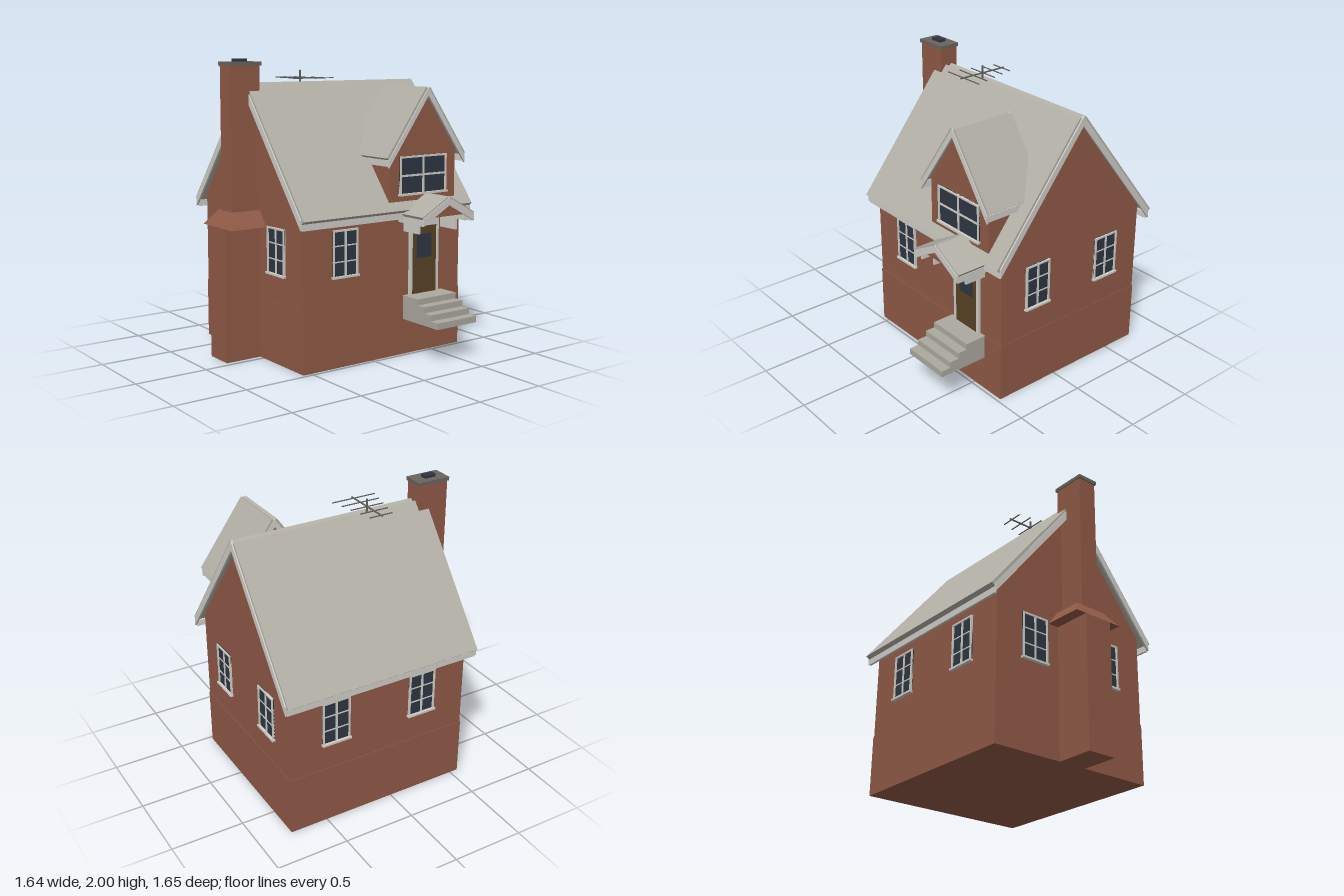
import * as THREE from 'three';

const mat = (name, color, side = THREE.FrontSide) => {
  const m = new THREE.MeshStandardMaterial({ color, side });
  m.name = name;
  return m;
};
const brick = mat('brick', 0x915a47);
const roofing = mat('roofing', 0xb2b0a6);
const trim = mat('trim', 0xd0cfc9);
const stone = mat('stone', 0xaca99f);
const capStone = mat('capStone', 0x6a645d);
const glass = mat('glass', 0x2f3743);
const wood = mat('wood', 0x594326);
const metal = mat('metal', 0x62625d);

// Box given by its min and max on each axis
function box(parent, name, m, x0, x1, y0, y1, z0, z1) {
  const mesh = new THREE.Mesh(new THREE.BoxGeometry(x1 - x0, y1 - y0, z1 - z0), m);
  mesh.position.set((x0 + x1) / 2, (y0 + y1) / 2, (z0 + z1) / 2);
  mesh.name = name;
  parent.add(mesh);
  return mesh;
}

// Outline in x, y pushed from z0 to z1
function prism(parent, name, m, points, z0, z1) {
  const shape = new THREE.Shape(points.map(([x, y]) => new THREE.Vector2(x, y)));
  const geo = new THREE.ExtrudeGeometry(shape, { depth: z1 - z0, bevelEnabled: false });
  geo.translate(0, 0, z0);
  const mesh = new THREE.Mesh(geo, m);
  mesh.name = name;
  parent.add(mesh);
  return mesh;
}

function subgroup(parent, name, x = 0, y = 0, z = 0, turn = 0) {
  const g = new THREE.Group();
  g.name = name;
  g.position.set(x, y, z);
  g.rotation.y = turn;
  parent.add(g);
  return g;
}

// Gabled roof with its ridge along z: two square-ended slabs, verge boards and fascias
function gableRoof(parent, o) {
  const a = Math.atan(o.slope), c = Math.cos(a), s = Math.sin(a);
  for (const k of [-1, 1]) {
    const end = [k * o.length * c, o.apex - o.length * s];
    const lift = ([x, y]) => [x + k * o.thick * s, y + o.thick * c];
    prism(parent, 'roofSlab', roofing, [[0, o.apex], end, lift(end), lift([0, o.apex])], o.z0, o.z1);
    const x = k * (o.half - 0.008);
    box(parent, 'fascia', trim, x - 0.008, x + 0.008, end[1] - 0.043, end[1], o.z0 + 0.004, o.z1 - 0.004);
  }
  const h = o.half, low = o.top - h * o.slope;
  const chevron = [[-h, low], [0, o.top], [h, low], [h, low - o.board], [0, o.top - o.board], [-h, low - o.board]];
  for (const z of o.boards) prism(parent, 'vergeBoard', trim, chevron, z, z + 0.014);
}

// Window facing +z, its foot at y = 0
function addWindow(parent, x, y, z, turn, w, h, cols, rows) {
  const g = subgroup(parent, 'window', x, y, z, turn);
  const f = 0.012, b = 0.004;
  box(g, 'pane', glass, -w / 2, w / 2, 0, h, -0.002, 0.006);
  for (const k of [-1, 1]) {
    box(g, 'jamb', trim, k * (w / 2 - f / 2) - f / 2, k * (w / 2 - f / 2) + f / 2, 0, h, 0, 0.015);
  }
  box(g, 'head', trim, -w / 2, w / 2, h - f, h, 0, 0.015);
  box(g, 'sill', trim, -w / 2 - 0.007, w / 2 + 0.007, -0.002, f, 0, 0.024);
  for (let i = 1; i < cols; i++) {
    const px = -w / 2 + (w * i) / cols;
    box(g, 'mullion', trim, px - 0.007, px + 0.007, 0, h, 0, 0.012);
  }
  for (let i = 1; i < rows; i++) {
    const py = (h * i) / rows, t = rows === 2 ? 0.007 : b;
    box(g, 'glazingBar', trim, -w / 2, w / 2, py - t, py + t, 0, 0.01);
  }
}

function addChimney(parent) {
  const g = subgroup(parent, 'chimney');
  box(g, 'chimneyBase', brick, -0.82, -0.55, 0, 0.9, -0.245, -0.04);
  // Shoulder: a box with its upper corners drawn in
  const shoulder = box(g, 'chimneyShoulder', brick, -0.82, -0.55, 0.9, 1.0, -0.325, 0.045);
  const p = shoulder.geometry.attributes.position;
  for (let i = 0; i < p.count; i++) {
    if (p.getY(i) < 0) continue;
    if (p.getX(i) < 0) p.setX(i, p.getX(i) + 0.075);
    p.setZ(i, p.getZ(i) - Math.sign(p.getZ(i)) * 0.075);
  }
  shoulder.geometry = shoulder.geometry.toNonIndexed();
  shoulder.geometry.computeVertexNormals();
  box(g, 'chimneyShaft', brick, -0.745, -0.525, 1.0, 1.957, -0.206, -0.07);
  box(g, 'chimneyCap', capStone, -0.755, -0.515, 1.955, 1.98, -0.213, -0.063);
  box(g, 'flue', glass, -0.68, -0.595, 1.98, 2.0, -0.163, -0.113);
}

function addAntenna(parent) {
  const g = subgroup(parent, 'antenna', -0.16, 0, 0);
  box(g, 'mast', metal, -0.005, 0.005, 1.8, 1.92, -0.143, -0.133);
  box(g, 'boom', metal, -0.004, 0.004, 1.864, 1.872, -0.325, 0.05);
  for (let i = 0; i < 5; i++) {
    const z = -0.308 + i * 0.083, half = 0.084 + i * 0.02;
    box(g, 'element', metal, -half, half, 1.865, 1.871, z - 0.003, z + 0.003);
  }
}

function addDormer(parent) {
  const g = subgroup(parent, 'dormer', 0.392, 0, 0);
  prism(g, 'dormerWalls', brick,
    [[-0.287, 1.055], [0.287, 1.055], [0.287, 1.388], [0, 1.79], [-0.287, 1.388]], 0.13, 0.507);
  gableRoof(g, { slope: 1.4, apex: 1.8, thick: 0.022, length: 0.557, z0: 0.1, z1: 0.553,
    half: 0.33, top: 1.812, board: 0.055, boards: [0.096, 0.546] });
  addWindow(g, 0, 1.1, 0.507, 0, 0.405, 0.26, 2, 2);
}

function addEntrance(parent) {
  const g = subgroup(parent, 'entrance', 0.432, 0, 0);
  // Door
  box(g, 'doorFrame', trim, -0.125, 0.125, 0.41, 0.965, 0.465, 0.484);
  box(g, 'door', wood, -0.107, 0.107, 0.41, 0.872, 0.47, 0.488);
  box(g, 'doorGlass', glass, -0.067, 0.063, 0.655, 0.82, 0.485, 0.491);
  for (const k of [-1, 1]) box(g, 'doorJamb', trim, k * 0.116 - 0.009, k * 0.116 + 0.009, 0.41, 0.965, 0.47, 0.494);
  // Canopy
  gableRoof(g, { slope: 0.55, apex: 1.082, thick: 0.02, length: 0.249, z0: 0.475, z1: 0.73,
    half: 0.222, top: 1.093, board: 0.05, boards: [0.722] });
  prism(g, 'canopyGable', brick, [[-0.19, 0.965], [0.19, 0.965], [0, 1.07]], 0.475, 0.7);
  for (const k of [-1, 1]) {
    const x = k * 0.163;
    box(g, 'bracketPost', trim, x - 0.008, x + 0.008, 0.85, 0.97, 0.47, 0.625);
    box(g, 'bracketArm', trim, x - 0.008, x + 0.008, 0.925, 0.97, 0.47, 0.72);
  }
  // Steps as one stair profile
  const stair = [[0.46, 0.245], [0.83, 0.245]];
  for (let i = 0; i < 4; i++) {
    const z = 0.828 - i * 0.0675, y = 0.288 + i * 0.0407;
    if (i) stair.push([z, y - 0.0407]);
    else stair.pop(), stair.push([z, 0.245]);
    stair.push([z, y]);
  }
  stair.push([0.46, 0.41]);
  const steps = prism(g, 'steps', stone, stair, -0.172, 0.172);
  steps.rotation.y = -Math.PI / 2;
}

export function createModel() {
  const house = new THREE.Group();
  house.name = 'house';

  // Plinth, walls and main roof
  box(house, 'plinth', brick, -0.56, 0.765, 0, 0.41, -0.745, 0.475);
  const main = subgroup(house, 'mainBlock', 0.1025, 0, -0.135, Math.PI / 2);
  prism(main, 'walls', brick,
    [[-0.606, 0.405], [0.606, 0.405], [0.606, 1.045], [0, 1.81], [-0.606, 1.045]], -0.659, 0.659);
  gableRoof(main, { slope: 1.265, apex: 1.822, thick: 0.031, length: 1.065, z0: -0.707, z1: 0.705,
    half: 0.66, top: 1.848, board: 0.065, boards: [-0.716, 0.7] });

  // Ground floor windows
  const size = [0.2, 0.315, 2, 3];
  addWindow(house, -0.23, 0.6, 0.471, 0, ...size);
  for (const x of [-0.22, 0.43]) addWindow(house, x, 0.6, -0.741, Math.PI, ...size);
  for (const z of [0.17, -0.44]) {
    addWindow(house, 0.761, 0.6, z, Math.PI / 2, ...size);
    addWindow(house, -0.556, 0.6, z, -Math.PI / 2, ...size);
  }

  addDormer(house);
  addEntrance(house);
  addChimney(house);
  addAntenna(house);
  return house;
}
